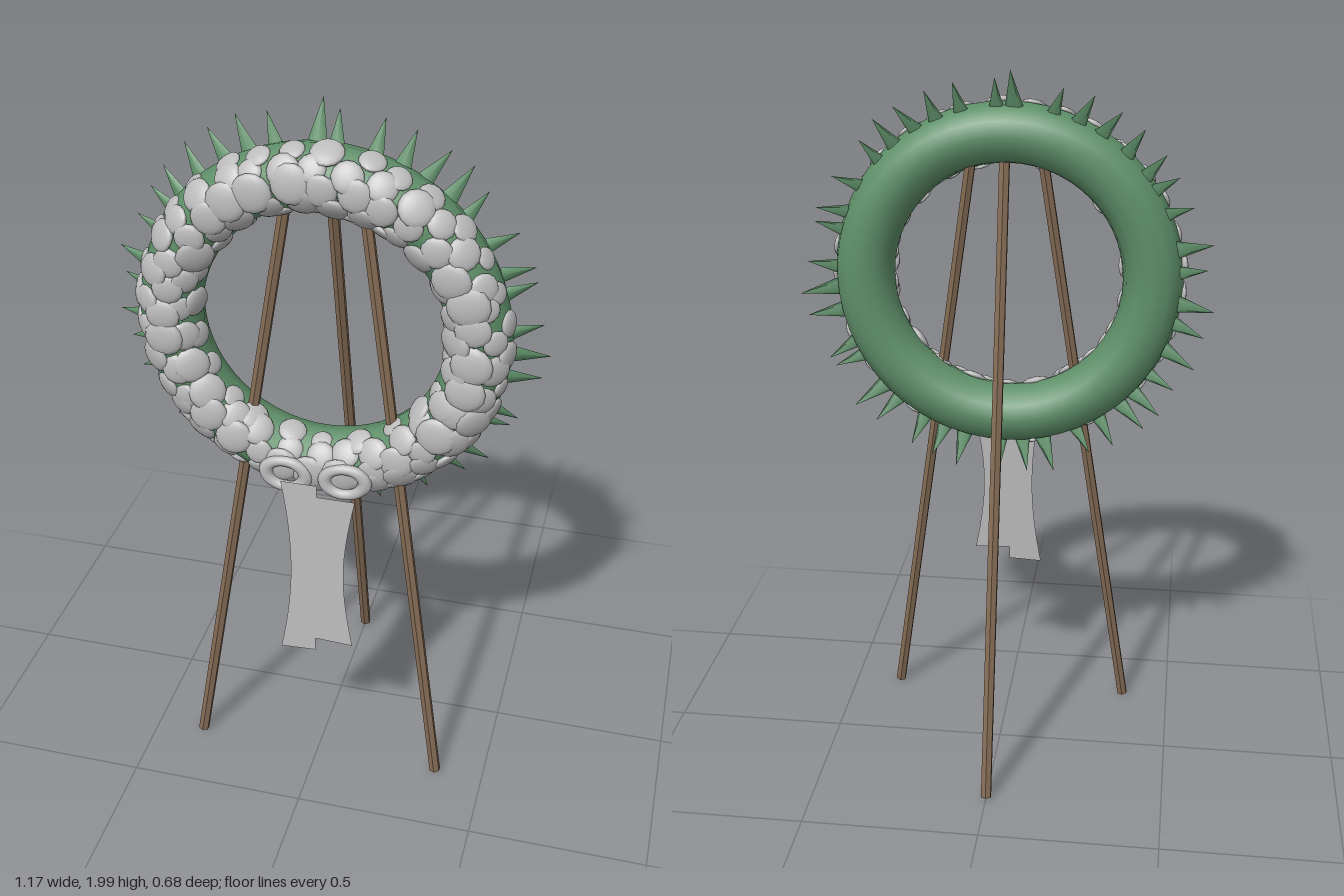
import * as THREE from 'three';

const material = (name, color, side = THREE.FrontSide) => {
  const m = new THREE.MeshStandardMaterial({ color, side });
  m.name = name;
  return m;
};

export function createModel() {
  const green = material('leaf green', 0x5f9069);
  const grey = material('blossom grey', 0xbcbcbc);
  const ribbon = material('ribbon grey', 0xbcbcbc, THREE.DoubleSide);
  const wood = material('easel wood', 0x846b54);

  const model = new THREE.Group();
  model.name = 'wreathOnEasel';
  const add = (parent, name, geometry, mat) => {
    const mesh = new THREE.Mesh(geometry, mat);
    mesh.name = name;
    parent.add(mesh);
    return mesh;
  };

  // Seeded variation
  let seed = 17;
  const rand = (lo, hi) => {
    seed = (seed * 16807) % 2147483647;
    return lo + (hi - lo) * (seed / 2147483647);
  };
  const UP = new THREE.Vector3(0, 1, 0);

  // Easel legs, each a six-sided pole between two points
  const legs = [
    ['leftLeg', [0.36, 0.003, 0.288], [0.1, 1.745, 0.16]],
    ['rightLeg', [-0.36, 0.003, 0.288], [-0.1, 1.745, 0.16]],
    ['rearLeg', [0, 0.004, -0.325], [0, 1.75, 0.1]],
  ];
  for (const [name, foot, top] of legs) {
    const a = new THREE.Vector3(...foot), b = new THREE.Vector3(...top);
    const dir = b.clone().sub(a);
    const leg = add(model, name, new THREE.CylinderGeometry(0.016, 0.016, dir.length(), 6), wood);
    leg.position.copy(a).add(b).multiplyScalar(0.5);
    leg.quaternion.setFromUnitVectors(UP, dir.normalize());
    leg.material.flatShading = true;
  }

  // Wreath ring
  const R = 0.41, r = 0.085;
  const wreath = new THREE.Group();
  wreath.name = 'wreath';
  wreath.position.set(0, 1.405, 0.188);
  model.add(wreath);
  add(wreath, 'wreathRing', new THREE.TorusGeometry(R, r, 12, 56), green);

  // Pointed leaves around the rim, leaning back
  const leafGeo = new THREE.ConeGeometry(0.024, 0.1, 5);
  leafGeo.scale(1, 1, 0.25);
  leafGeo.translate(0, 0.05, 0);
  const leaves = 40;
  for (let i = 0; i < leaves; i++) {
    const a = Math.PI / 2 + ((i + 0.5) / leaves) * Math.PI * 2 + rand(-0.04, 0.04);
    const holder = new THREE.Group();
    holder.name = 'leafHolder';
    holder.rotation.z = a - Math.PI / 2;
    wreath.add(holder);
    const leaf = add(holder, 'leaf', leafGeo, green);
    leaf.position.set(0, R + r - 0.01, -0.03);
    leaf.rotation.set(-0.33, 0, rand(-0.18, 0.18));
    leaf.scale.setScalar(i === 0 ? 1.1 : rand(0.82, 1.1));
  }

  // Flattened blossoms in rows over the front: [tube angle, count, smallest, largest]
  const blossomGeo = new THREE.SphereGeometry(1, 14, 8);
  const rows = [
    [0.38, 33, 0.028, 0.045],
    [0.95, 34, 0.034, 0.05],
    [1.57, 32, 0.036, 0.057],
    [2.2, 27, 0.034, 0.052],
    [2.7, 22, 0.026, 0.042],
  ];
  rows.forEach(([tube, count, small, large], row) => {
    for (let i = 0; i < count; i++) {
      const a = ((i + row * 0.4) / count) * Math.PI * 2 + rand(-0.04, 0.04);
      const t = tube + rand(-0.12, 0.12);
      const n = new THREE.Vector3(Math.cos(a) * Math.cos(t), Math.sin(a) * Math.cos(t), Math.sin(t));
      const size = rand(small, large);
      const blossom = add(wreath, 'blossom', blossomGeo, grey);
      blossom.position.set(Math.cos(a) * R, Math.sin(a) * R, 0).addScaledVector(n, r - 0.002);
      blossom.quaternion.setFromUnitVectors(UP, n);
      blossom.scale.set(size, size * 0.33, size);
    }
  });

  // Bow loops
  for (const side of [-1, 1]) {
    const loop = add(model, side > 0 ? 'leftBowLoop' : 'rightBowLoop',
      new THREE.TorusGeometry(0.055, 0.02, 8, 28), ribbon);
    loop.scale.set(1, 0.73, 0.8);
    loop.position.set(side * 0.082, 0.985, 0.284);
    loop.rotation.z = side * 0.1;
  }

  // Ribbon tails: waisted strips drawn down from the bow
  const tail = (name, inner, topX, waistX, topY, endY, notchY) => {
    const s = new THREE.Shape();
    s.moveTo(inner, topY);
    s.lineTo(topX, topY);
    s.bezierCurveTo(waistX, topY - 0.2, waistX, endY + 0.2, topX, endY);
    s.lineTo(inner, notchY);
    s.closePath();
    const g = new THREE.ShapeGeometry(s, 14);
    const p = g.attributes.position;
    for (let i = 0; i < p.count; i++) p.setZ(i, 0.315 + (0.98 - p.getY(i)) * 0.048);
    g.computeVertexNormals();
    add(model, name, g, ribbon);
  };
  tail('rightRibbonTail', 0.012, -0.088, -0.05, 0.98, 0.43, 0.435);
  tail('leftRibbonTail', 0.012, 0.118, 0.08, 0.945, 0.47, 0.475);

  return model;
}
